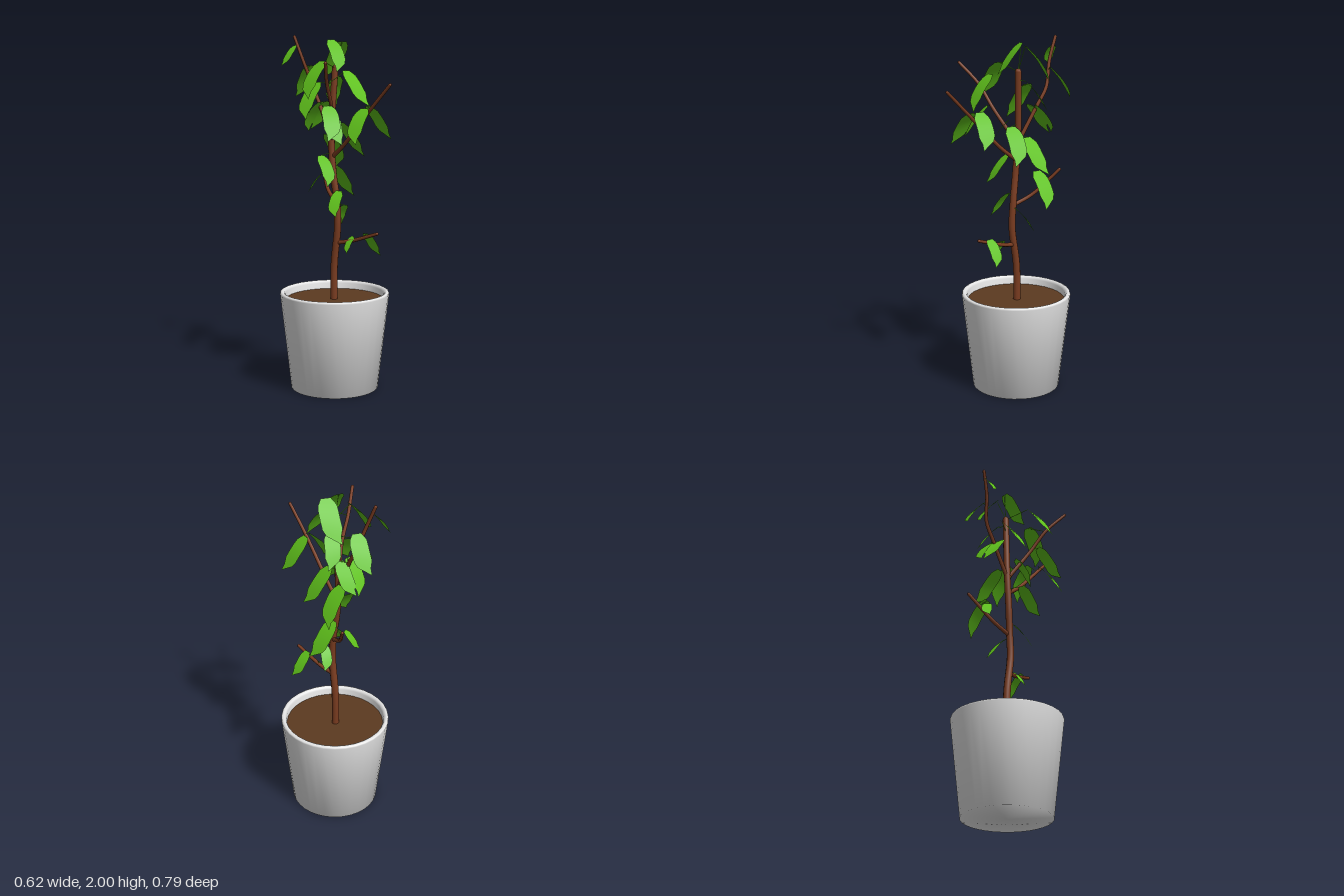
import * as THREE from 'three';
import { mergeGeometries } from 'three/addons/utils/BufferGeometryUtils.js';

const mat = (name, color, side = THREE.FrontSide) => {
  const m = new THREE.MeshStandardMaterial({ color, side });
  m.name = name;
  return m;
};
const smoothCurve = (points) => new THREE.CatmullRomCurve3(points.map((p) => new THREE.Vector3(...p)));

// Tapered tube along a smooth curve, closed with a rounded tip
function taperedTube(curve, r0, r1, segments, sides = 8) {
  const tube = new THREE.TubeGeometry(curve, segments, r0, sides);
  const pos = tube.attributes.position;
  const v = new THREE.Vector3();
  for (let i = 0; i <= segments; i++) {
    const c = curve.getPointAt(i / segments);
    const k = 1 + (r1 / r0 - 1) * (i / segments);
    for (let j = 0; j <= sides; j++) {
      const n = i * (sides + 1) + j;
      v.fromBufferAttribute(pos, n).sub(c).multiplyScalar(k).add(c);
      pos.setXYZ(n, v.x, v.y, v.z);
    }
  }
  const end = curve.getPointAt(1);
  const tip = new THREE.SphereGeometry(r1, sides, 6).translate(end.x, end.y, end.z);
  return mergeGeometries([tube, tip]);
}

// Leaf: a slightly bowed blade pointing along +x and drooping, cut off at a slant
function leafGeometry(size, skew) {
  const g = new THREE.PlaneGeometry(1, 1, 6, 1).rotateX(-Math.PI / 2);
  const pos = g.attributes.position;
  const reach = 0.118 * size, drop = 0.16 * size, width = 0.095 * size;
  for (let i = 0; i < pos.count; i++) {
    const side = pos.getZ(i);
    const t = (pos.getX(i) + 0.5) * (1 + 0.25 * skew * side);
    const bow = 0.05 * Math.sin(t * Math.PI);
    const w = Math.min(1, 0.5 + 2.5 * t, 0.5 + 2.2 * Math.max(0, 1 - t));
    pos.setXYZ(i, reach * t + bow * drop, -drop * t + bow * reach,
      width * (side * w + 0.15 * skew * t ** 3));
  }
  g.computeVertexNormals();
  return g;
}

const TRUNK = [[0, 0.48, -0.065], [0, 0.72, -0.062], [0, 0.94, -0.033], [0, 1.08, -0.04],
  [-0.01, 1.24, -0.06], [-0.01, 1.45, -0.075], [0.01, 1.82, -0.065]];

const BRANCHES = [
  [[-0.01, 1.42, -0.07], [-0.1, 1.61, 0.03], [-0.175, 1.74, 0.08], [-0.255, 1.855, 0.16]],
  [[-0.01, 1.33, -0.06], [-0.01, 1.4, 0.03], [0, 1.6, 0.23], [0.015, 1.74, 0.37]],
  [[-0.01, 1.42, -0.075], [0, 1.62, -0.19], [0, 1.72, -0.25], [-0.035, 1.86, -0.29], [-0.055, 1.99, -0.34]],
  [[0, 1.07, -0.04], [0.03, 1.13, -0.15], [0.1, 1.27, -0.28]],
  [[0, 0.84, -0.045], [0.03, 0.86, 0.05], [0.07, 0.915, 0.215]],
];

// Leaves: base x, y, z, heading in degrees (0 = +x, 90 = +z), size
const LEAVES = [
  [0.07, 1.965, -0.075, -73, 1.12], [0, 1.975, -0.09, 98, 0.95], [0.01, 1.83, -0.27, -74, 1],
  [-0.06, 1.94, -0.33, 180, 0.62], [-0.12, 1.86, -0.02, 180, 1.1], [-0.14, 1.62, 0.045, 112, 1],
  [-0.04, 1.74, -0.155, 175, 1.1], [-0.1, 1.34, -0.06, 95, 0.88], [-0.04, 1.81, 0.08, 87, 1.05],
  [0.03, 1.62, 0.185, 0, 1.02], [-0.02, 1.61, 0.21, 171, 1.02], [0.055, 0.91, 0.14, -10, 0.75],
  [0.04, 0.885, 0.05, 180, 0.5], [0.06, 1.05, -0.04, -77, 0.65], [-0.01, 1.14, -0.01, 160, 0.75],
  [0.07, 1.27, -0.15, -10, 1.05], [0.03, 1.22, -0.2, -125, 0.6], [0.01, 1.52, -0.02, 0, 1.08],
  [0, 1.45, -0.125, -10, 1.08], [0.05, 1.77, -0.09, -70, 0.9], [0.04, 1.63, -0.16, -86, 0.9],
  [-0.02, 1.63, -0.15, -101, 0.95], [-0.03, 1.55, -0.03, 125, 0.8],
];

export function createModel() {
  const model = new THREE.Group();
  const potWhite = mat('pot white', 0xeaeaea);
  const soilBrown = mat('soil brown', 0x5c3a20);
  const barkBrown = mat('bark brown', 0x7a3c20);
  const leafGreen = mat('leaf green', 0x60c21c, THREE.DoubleSide);
  const add = (parent, name, geometry, material) => {
    const m = new THREE.Mesh(geometry, material);
    m.name = name;
    parent.add(m);
    return m;
  };

  // Pot: tapered wall, softly shaded foot and a rounded rim
  const profile = [[0, 0], [0.249, 0], [0.311, 0.548], [0.308, 0.557], [0.298, 0.561],
    [0.288, 0.557], [0.281, 0.545], [0.274, 0.47]].map((p) => new THREE.Vector2(...p));
  add(model, 'pot', new THREE.LatheGeometry(profile, 32), potWhite).position.z = -0.06;

  // Soil disc
  const soil = add(model, 'soil', new THREE.CircleGeometry(0.28, 32), soilBrown);
  soil.rotation.x = -Math.PI / 2;
  soil.position.set(0, 0.513, -0.06);

  // Trunk and branches
  const trunkCurve = smoothCurve(TRUNK);
  add(model, 'trunk', taperedTube(trunkCurve, 0.021, 0.018, 40, 10), barkBrown);
  const branches = new THREE.Group();
  branches.name = 'branches';
  const woodPoints = trunkCurve.getSpacedPoints(60);
  for (const path of BRANCHES) {
    const curve = smoothCurve(path);
    woodPoints.push(...curve.getSpacedPoints(30));
    add(branches, 'branch', taperedTube(curve, 0.012, 0.009, 20), barkBrown);
  }
  model.add(branches);

  // Leaves, each joined to the closest wood by a thin stalk
  const leaves = new THREE.Group();
  leaves.name = 'leaves';
  LEAVES.forEach(([x, y, z, heading, size], i) => {
    const base = new THREE.Vector3(x, y, z);
    const leaf = add(leaves, 'leaf', leafGeometry(size, i % 2 ? 1 : -1), leafGreen);
    leaf.position.copy(base);
    leaf.rotation.y = -THREE.MathUtils.degToRad(heading);
    const root = woodPoints.reduce((a, p) => (p.distanceTo(base) < a.distanceTo(base) ? p : a));
    add(leaves, 'leafStalk', new THREE.TubeGeometry(new THREE.LineCurve3(root, base), 1, 0.002, 5), leafGreen);
  });
  model.add(leaves);
  return model;
}
